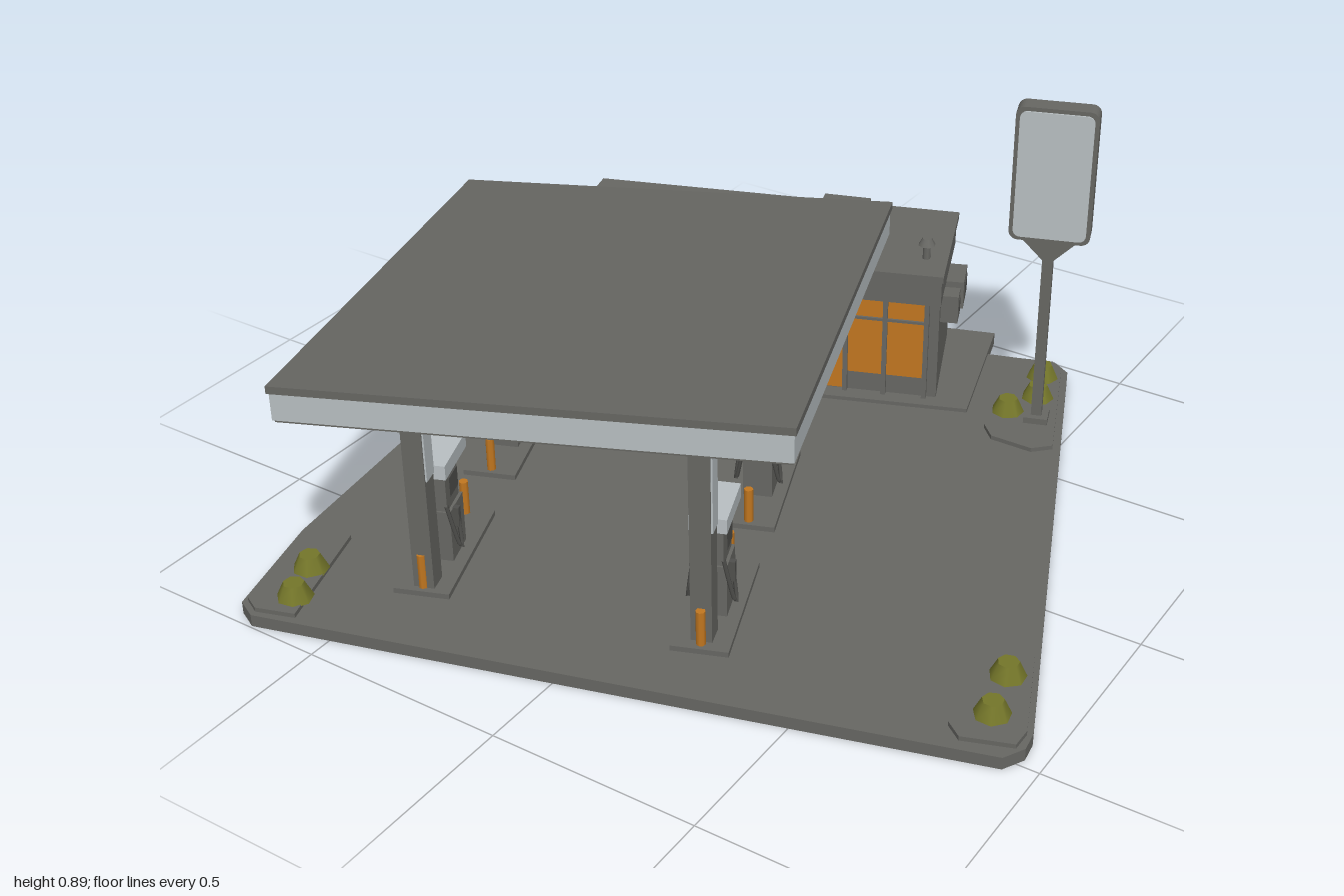
import * as THREE from 'three';

const mat = (name, color, double) => {
  const m = new THREE.MeshStandardMaterial({ color });
  m.name = name;
  if (double) m.side = THREE.DoubleSide;
  return m;
};

export function createModel() {
  const root = new THREE.Group();
  root.name = 'fuelStation';
  const dark = mat('concreteGrey', 0x676763);
  const shade = mat('charcoal', 0x50504d);
  const light = mat('paleGrey', 0xb9c0c3);
  const orange = mat('orange', 0xc27720);
  const green = mat('olive', 0x74762a);
  const ANGLE = 0.327; // heading of the whole station

  const add = (name, geo, material, parent = root) => {
    const m = new THREE.Mesh(geo, material);
    m.name = name;
    parent.add(m);
    return m;
  };
  const box = (name, w, h, d, x, y, z, material, parent = root) => {
    const m = add(name, new THREE.BoxGeometry(w, h, d), material, parent);
    m.position.set(x, y, z);
    return m;
  };
  const frame = (name, x, z, angle = ANGLE, parent = root) => {
    const g = new THREE.Group();
    g.name = name;
    g.position.set(x, 0, z);
    g.rotation.y = angle;
    parent.add(g);
    return g;
  };
  // Upright prism over a ground outline of [x, z] corners
  const prism = (pts, y0, y1) => {
    const s = new THREE.Shape(pts.map(([x, z]) => new THREE.Vector2(x, -z)));
    const g = new THREE.ExtrudeGeometry(s, { depth: y1 - y0, bevelEnabled: false });
    return g.rotateX(-Math.PI / 2).translate(0, y0, 0);
  };

  // Forecourt and building plinth
  add('forecourt', prism([[0.14, -0.9], [0.33, -0.96], [0.38, -0.93], [0.95, 0.43], [0.957, 0.48],
    [0.93, 0.53], [-0.68, 0.995], [-0.73, 0.97], [-0.81, 0.69], [-0.9, 0.05], [-0.95, -0.5], [-0.9, -0.6]], 0.005, 0.035), dark);
  add('plinth', prism([[-0.96, -0.62], [0.13, -1], [0.25, -0.61], [-0.83, -0.19]], 0.012, 0.045), dark);

  // Corner planters with low bushes
  [
    [[0.21, -0.9], [0.33, -0.945], [0.37, -0.91], [0.51, -0.57], [0.47, -0.53], [0.36, -0.53], [0.32, -0.57]],
    [[0.71, 0.21], [0.8, 0.18], [0.84, 0.2], [0.94, 0.44], [0.94, 0.49], [0.83, 0.53], [0.79, 0.5]],
    [[-0.8, 0.69], [-0.69, 0.655], [-0.59, 0.95], [-0.68, 0.98], [-0.72, 0.96]],
  ].forEach(p => add('planter', prism(p, 0.03, 0.046), dark));
  [[0.34, -0.86], [0.375, -0.76], [0.34, -0.66], [0.825, 0.3], [0.855, 0.43], [-0.68, 0.8], [-0.635, 0.9]]
    .forEach(([x, z], i) => {
      const g = new THREE.CylinderGeometry(0.024, 0.043, 0.04, 7);
      const b = add('bush', g, green);
      b.position.set(x, 0.063, z);
      b.rotation.y = i;
    });

  // Tilted canopy: flat slabs sheared onto one sloping plane
  const roofY = (x, z) => 0.639 + 0.0754 * x + 0.0414 * z;
  const tilt = g => {
    const p = g.attributes.position;
    for (let i = 0; i < p.count; i++) p.setY(i, p.getY(i) + roofY(p.getX(i), p.getZ(i)));
    g.computeVertexNormals();
    return g;
  };
  const corners = [[-0.96, -0.16], [-0.58, 0.96], [0.48, 0.6], [0.07, -0.51]];
  const inset = k => corners.map(([x, z]) => [-0.2475 + (x + 0.2475) * k, 0.2225 + (z - 0.2225) * k]);
  add('canopyRoof', tilt(prism(corners, -0.018, 0)), dark);
  add('canopyFascia', tilt(prism(inset(0.992), -0.084, -0.018)), light);
  add('canopySoffit', tilt(prism(inset(0.985), -0.09, -0.08)), dark);

  // Columns and round soffit lamps
  [[-0.42, 0.7, 0], [0.21, 0.53, 0], [-0.7, -0.02, 1], [-0.05, -0.145, 1]].forEach(([x, z, pale]) => {
    const c = frame('column', x, z);
    const top = roofY(x, z) - 0.08;
    box('columnBase', 0.048, 0.3, 0.048, 0, 0.185, 0, dark, c);
    box('columnTop', 0.048, top - 0.33, 0.048, 0, (top + 0.33) / 2, 0, pale ? light : dark, c);
    if (!pale) box('columnStrip', 0.006, top - 0.33, 0.042, 0.025, (top + 0.33) / 2, 0, light, c);
  });
  for (const s of [-1, 0, 1]) for (const t of [-1, 1]) {
    const x = -0.24 + s * 0.34 + t * 0.11, z = 0.22 - s * 0.115 + t * 0.32;
    const l = add('soffitLamp', new THREE.TorusGeometry(0.032, 0.007, 5, 16).rotateX(Math.PI / 2), shade);
    l.position.set(x, roofY(x, z) - 0.092, z);
  }

  // Four fuel islands: curb, dispenser, hoses and bollards
  [[-0.47, 0.58], [0.167, 0.42], [-0.645, 0.12], [0.0, -0.03]].forEach(([x, z]) => {
    const g = frame('fuelIsland', x, z, 0.37);
    box('curb', 0.13, 0.016, 0.34, 0, 0.04, 0, dark, g);
    box('dispenserBody', 0.07, 0.13, 0.09, 0, 0.113, 0, dark, g);
    box('dispenserHead', 0.055, 0.11, 0.08, 0, 0.23, 0, dark, g);
    box('dispenserCap', 0.085, 0.036, 0.145, 0, 0.303, 0, light, g);
    for (const s of [-1, 1]) {
      box('screen', 0.008, 0.05, 0.055, s * 0.029, 0.235, 0, shade, g);
      box('nozzle', 0.014, 0.05, 0.014, s * 0.044, 0.16, 0.025, shade, g);
      const curve = new THREE.QuadraticBezierCurve3(new THREE.Vector3(s * 0.045, 0.17, 0.025),
        new THREE.Vector3(s * 0.07, -0.02, 0.035), new THREE.Vector3(s * 0.03, 0.2, 0.05));
      add('hose', new THREE.TubeGeometry(curve, 12, 0.005, 5), shade, g);
      const b = add('bollard', new THREE.CylinderGeometry(0.011, 0.011, 0.09, 8), orange, g);
      b.position.set(0.0, 0.09, s * 0.15);
    }
  });

  // Shop walls, deep roof band and roof deck
  add('shopWalls', prism([[-0.86, -0.605], [0.025, -0.925], [0.155, -0.62], [-0.775, -0.265]], 0.04, 0.34), dark);
  add('roofBand', prism([[-0.868, -0.61], [0.03, -0.937], [0.165, -0.605], [-0.77, -0.245]], 0.318, 0.39), dark);
  add('roofEdge', prism([[-0.875, -0.612], [0.033, -0.945], [0.172, -0.6], [-0.772, -0.237]], 0.388, 0.405), dark);

  // Glazed shop front
  const front = frame('shopFront', -0.775, -0.265, 0.3646);
  const panel = (name, t0, t1, y0, y1, thick, material) =>
    box(name, t1 - t0, y1 - y0, thick, (t0 + t1) / 2, (y0 + y1) / 2, thick / 2, material, front);
  panel('windowBand', 0.05, 0.965, 0.1, 0.315, 0.006, orange);
  panel('doorGlass', 0.4, 0.76, 0.05, 0.1, 0.006, orange);
  for (const t of [0.05, 0.16, 0.28, 0.4, 0.5, 0.595, 0.675, 0.76, 0.86, 0.965])
    panel('mullion', t - 0.006, t + 0.006, 0.045, 0.318, 0.014, dark);
  panel('transom', 0.05, 0.965, 0.258, 0.265, 0.012, dark);
  panel('counter', 0.41, 0.58, 0.105, 0.125, 0.009, shade);
  panel('shelf', 0.41, 0.58, 0.165, 0.175, 0.009, shade);
  panel('doorPanel', 0.61, 0.66, 0.055, 0.09, 0.009, shade);
  for (let i = 0; i < 5; i++)
    panel('goods', 0.42 + i * 0.033, 0.437 + i * 0.033, 0.175, 0.195 + (i % 2) * 0.012, 0.009, shade);
  panel('frontSign', 0.18, 0.25, 0.12, 0.17, 0.009, shade);

  // Rooftop cooler and vent
  const cooler = frame('rooftopCooler', -0.165, -0.68);
  box('coolerBody', 0.115, 0.06, 0.115, 0, 0.445, 0, dark, cooler);
  box('coolerLid', 0.12, 0.008, 0.12, 0, 0.477, 0, dark, cooler);
  const stem = add('ventStem', new THREE.CylinderGeometry(0.01, 0.01, 0.05, 8), dark);
  stem.position.set(0.085, 0.425, -0.67);
  const cap = add('ventCap', new THREE.CylinderGeometry(0.012, 0.022, 0.018, 8), dark);
  cap.position.set(0.085, 0.452, -0.67);

  // Wall units on both ends of the shop
  [[0.115, -0.78, 0.285, 0.1], [0.15, -0.68, 0.285, 0.05], [-0.83, -0.4, 0.265, 0.1], [-0.79, -0.31, 0.25, 0.04]].forEach(([x, z, y, d]) => {
    const g = frame('wallUnit', x, z, x > 0 ? 0.4 : 0.25);
    box('unitBody', 0.05, 0.075, d, 0, y, 0, dark, g);
    box('unitGrille', 0.054, 0.045, d * 0.7, 0, y, 0, shade, g);
  });
  const meter = frame('meterBox', -0.815, -0.38, 0.25);
  box('meterBody', 0.04, 0.13, 0.12, 0, 0.11, 0, dark, meter);

  // Roadside pylon with a blank lit face
  const sign = frame('pylonSign', 0.418, -0.665, 0.34);
  box('footing', 0.06, 0.02, 0.06, 0, 0.052, 0, dark, sign);
  box('pole', 0.026, 0.5, 0.026, 0, 0.29, 0, dark, sign);
  const rounded = (w, h, r, depth) => {
    const s = new THREE.Shape();
    const x = w / 2, y = h / 2, q = Math.PI / 2;
    s.absarc(x - r, y - r, r, 0, q);
    s.absarc(-x + r, y - r, r, q, 2 * q);
    s.absarc(-x + r, -y + r, r, 2 * q, 3 * q);
    s.absarc(x - r, -y + r, r, 3 * q, 4 * q);
    return new THREE.ExtrudeGeometry(s, { depth, bevelEnabled: false, curveSegments: 4 });
  };
  add('signCase', rounded(0.195, 0.345, 0.022, 0.05), dark, sign).position.set(0, 0.727, -0.025);
  add('signFace', rounded(0.175, 0.325, 0.018, 0.005), light, sign).position.set(0, 0.727, 0.0245);
  const neck = new THREE.Shape([[-0.013, 0.5], [0.013, 0.5], [0.07, 0.557], [-0.07, 0.557]].map(p => new THREE.Vector2(...p)));
  add('signNeck', new THREE.ExtrudeGeometry(neck, { depth: 0.03, bevelEnabled: false }), dark, sign).position.z = -0.015;

  return root;
}
